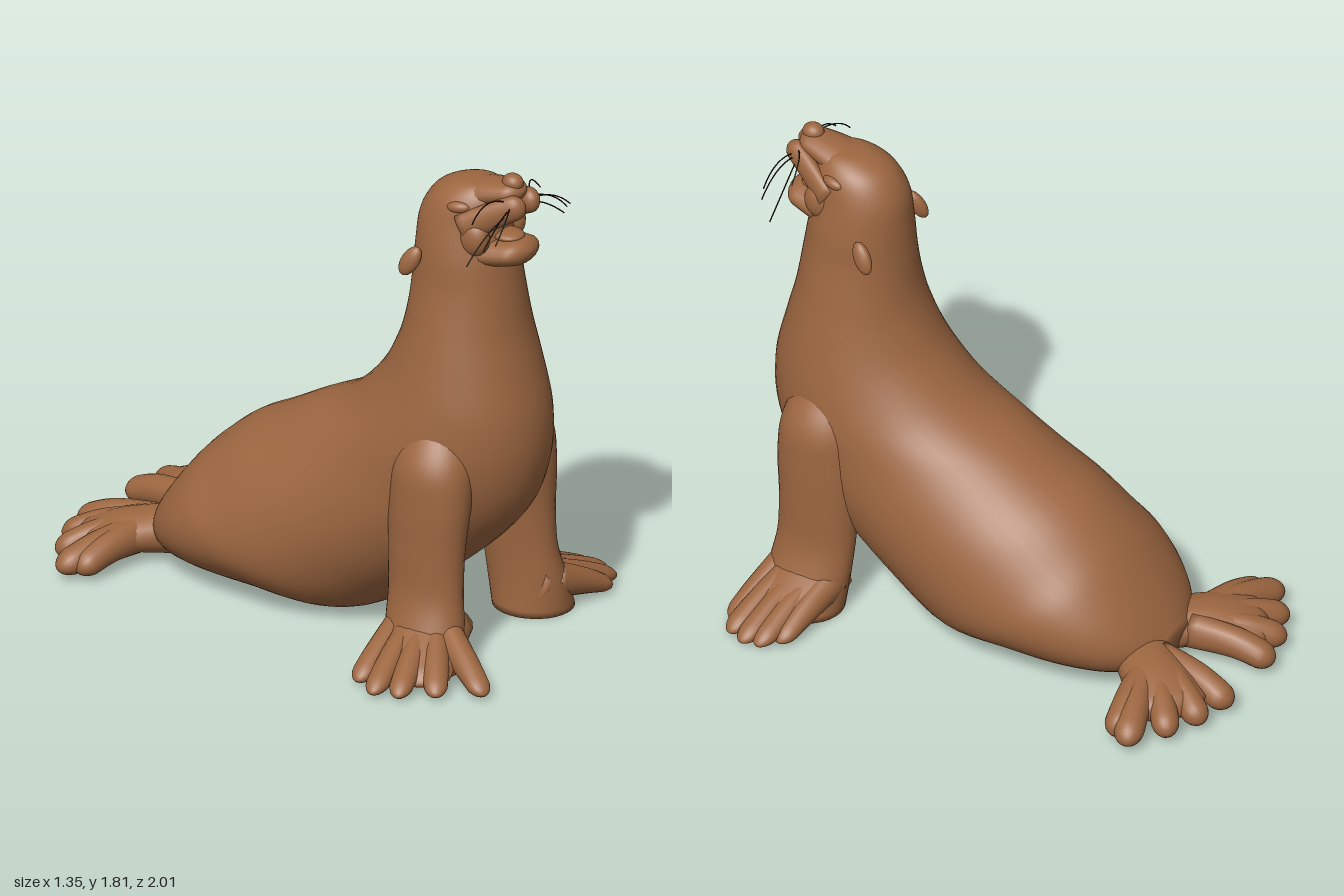
import * as THREE from 'three';

const fur = new THREE.MeshStandardMaterial({ color: 0x9c6640 });
fur.name = 'brown fur';
const dark = new THREE.MeshStandardMaterial({ color: 0x2a1d16 });
dark.name = 'dark whisker';

const V = (x, y, z) => new THREE.Vector3(x, y, z);

// Closed skin over rings {c, u, v}, where u x v points along the loft; the ground flattens it.
function loft(rings, n = 32) {
  const pos = [], index = [];
  const push = (p) => pos.push(p.x, Math.max(0, p.y), p.z);
  rings.forEach(({ c, u, v }) => {
    for (let j = 0; j < n; j++) {
      const a = (j / n) * Math.PI * 2;
      push(c.clone().addScaledVector(u, Math.cos(a)).addScaledVector(v, Math.sin(a)));
    }
  });
  const last = rings.length - 1, start = rings.length * n, end = start + 1;
  push(rings[0].c);
  push(rings[last].c);
  for (let j = 0; j < n; j++) {
    const k = (j + 1) % n;
    for (let i = 0; i < last; i++) {
      const a = i * n + j, b = i * n + k;
      index.push(a, b, a + n, b, b + n, a + n);
    }
    index.push(start, k, j, end, last * n + j, last * n + k);
  }
  const g = new THREE.BufferGeometry();
  g.setAttribute('position', new THREE.Float32BufferAttribute(pos, 3));
  g.setIndex(index);
  g.computeVertexNormals();
  return g;
}

const spline = (pts) => new THREE.CatmullRomCurve3(pts, false, 'catmullrom', 0.5);

// Rounded, tapering lobe from root to tip; r0 and r1 are [half width, half height].
function lobe(root, tip, r0, r1, bulge = 0.02) {
  const mid = root.clone().lerp(tip, 0.55).add(V(0, bulge, 0));
  const path = spline([root, mid, tip]);
  const rings = [];
  for (let i = 0; i <= 18; i++) {
    const t = 1 - Math.pow(1 - i / 18, 1.6);
    const d = path.getTangent(t);
    const side = V(0, 1, 0).cross(d).normalize();
    const up = side.clone().cross(d).normalize();
    const round = t > 0.8 ? Math.sqrt(Math.max(0.0004, 1 - ((t - 0.8) / 0.2) ** 2)) : 1;
    const size = (k) => (r0[k] + (r1[k] - r0[k]) * t) * round;
    rings.push({ c: path.getPoint(t), u: up.multiplyScalar(size(1)), v: side.multiplyScalar(size(0)) });
  }
  return loft(rings, 18);
}

export function createModel() {
  const model = new THREE.Group();
  model.name = 'seaLion';
  const add = (name, geometry, parent = model, material = fur) => {
    const m = new THREE.Mesh(geometry, material);
    m.name = name;
    parent.add(m);
    return m;
  };
  const ball = (name, parent, p, r, rot = [0, 0, 0]) => {
    const m = add(name, new THREE.SphereGeometry(1, 20, 14), parent);
    m.position.set(...p);
    m.scale.set(...r);
    m.rotation.set(...rot);
  };
  const group = (name) => {
    const g = new THREE.Group();
    g.name = name;
    model.add(g);
    return g;
  };

  // Torso, neck and skull: back z, back y, belly z, belly y, half width
  const sections = [
    [0.63, 1.765, 0.67, 1.765, 0.015], [0.56, 1.755, 0.73, 1.75, 0.075],
    [0.475, 1.71, 0.76, 1.69, 0.125], [0.42, 1.62, 0.755, 1.6, 0.155],
    [0.405, 1.5, 0.78, 1.48, 0.18], [0.395, 1.38, 0.8, 1.36, 0.193],
    [0.38, 1.25, 0.825, 1.2, 0.222], [0.345, 1.13, 0.86, 1.06, 0.25],
    [0.27, 0.99, 0.9, 0.88, 0.285], [0.13, 0.845, 0.895, 0.7, 0.315],
    [-0.05, 0.75, 0.83, 0.52, 0.33], [-0.2, 0.665, 0.66, 0.33, 0.355],
    [-0.32, 0.6, 0.42, 0.14, 0.38], [-0.42, 0.52, 0.18, 0, 0.395],
    [-0.5, 0.44, -0.1, 0, 0.385], [-0.58, 0.34, -0.35, 0, 0.335],
    [-0.65, 0.24, -0.55, 0.01, 0.24], [-0.7, 0.16, -0.67, 0.05, 0.1],
  ];
  const backLine = spline(sections.map((s) => V(s[4], s[1], s[0])));
  const bellyLine = spline(sections.map((s) => V(0, s[3], s[2])));
  const bodyRings = [];
  for (let i = 0; i <= 85; i++) {
    const b = backLine.getPoint(i / 85), f = bellyLine.getPoint(i / 85), w = b.x;
    b.x = f.x = 0;
    bodyRings.push({
      c: b.clone().add(f).multiplyScalar(0.5),
      u: b.clone().sub(f).multiplyScalar(0.5),
      v: V(w, 0, 0),
    });
  }
  add('body', loft(bodyRings, 48));

  // Open mouth: upper jaw, nose, lower jaw and tongue
  const head = group('face');
  add('upperJaw', lobe(V(0, 1.69, 0.58), V(0, 1.755, 0.835), [0.11, 0.06], [0.055, 0.035], 0.005), head);
  ball('nose', head, [0, 1.78, 0.79], [0.035, 0.033, 0.04]);
  add('lowerJaw', lobe(V(0, 1.5, 0.58), V(0, 1.535, 0.872), [0.15, 0.07], [0.085, 0.045], -0.005), head);
  ball('tongue', head, [0, 1.575, 0.77], [0.055, 0.02, 0.06]);

  for (const s of [1, -1]) {
    // Lip pad, cheek, brow and ear
    add('lip', lobe(V(s * 0.125, 1.61, 0.66), V(s * 0.03, 1.725, 0.865), [0.03, 0.055], [0.035, 0.045], 0.005), head);
    ball('cheek', head, [s * 0.105, 1.58, 0.7], [0.045, 0.07, 0.06]);
    ball('brow', head, [s * 0.115, 1.685, 0.64], [0.025, 0.022, 0.045], [-0.1, s * -0.25, 0]);
    ball('ear', head, [s * 0.188, 1.46, 0.48], [0.024, 0.062, 0.034], [0.5, 0, s * 0.2]);

    // Whiskers: tip x, y, z
    [[0.285, 1.56, 0.8], [0.255, 1.62, 0.85], [0.21, 1.63, 0.87], [0.2, 1.68, 0.76]].forEach(([x, y, z], i) => {
      const curve = new THREE.QuadraticBezierCurve3(
        V(s * 0.06, 1.69 + i * 0.012, 0.82), V(s * x * 0.6, y + 0.095, z), V(s * x, y, z));
      add('whisker', new THREE.TubeGeometry(curve, 12, 0.0025, 5), head, dark);
    });

    // Foreleg: centre x, y, z, then half width and half depth
    const fore = group(s > 0 ? 'leftForeFlipper' : 'rightForeFlipper');
    const leg = [
      [0.17, 0.9, 0.61, 0.09, 0.1], [0.225, 0.75, 0.615, 0.125, 0.15],
      [0.25, 0.6, 0.615, 0.115, 0.16], [0.265, 0.42, 0.61, 0.1, 0.153],
      [0.275, 0.26, 0.615, 0.095, 0.15], [0.3, 0.12, 0.63, 0.115, 0.155],
      [0.32, 0, 0.64, 0.14, 0.15],
    ];
    const centres = spline(leg.map((r) => V(s * r[0], r[1], r[2])));
    const radii = spline(leg.map((r) => V(r[3], 0, r[4])));
    const legRings = [];
    for (let i = 0; i <= 30; i++) {
      const r = radii.getPoint(i / 30);
      legRings.push({ c: centres.getPoint(i / 30), u: V(0, 0, -r.z), v: V(r.x, 0, 0) });
    }
    add('foreleg', loft(legRings), fore);

    // Fore palm and toes; the right one is spread further forward
    const palmTip = s > 0 ? V(0.6, 0.03, 0.68) : V(-0.55, 0.03, 0.76);
    add('forePalm', lobe(V(s * 0.25, 0.13, 0.62), palmTip, [0.15, 0.1], [0.12, 0.025], 0), fore);
    const foreTips = s > 0
      ? [[0.61, 0.575], [0.665, 0.63], [0.675, 0.69], [0.645, 0.755], [0.57, 0.79]]
      : [[0.62, 0.57], [0.675, 0.675], [0.645, 0.765], [0.56, 0.87], [0.45, 1.0]];
    foreTips.forEach(([x, z], i) => add('foreToe',
      lobe(V(s * 0.3, 0.12, 0.53 + i * 0.05), V(s * x, 0.02, z), [0.055, 0.07], [0.04, 0.025], 0.005), fore));

    // Hind flipper: palm and fanned toes
    const hind = group(s > 0 ? 'leftHindFlipper' : 'rightHindFlipper');
    add('hindPalm', lobe(V(s * 0.1, 0.1, -0.6), V(s * 0.33, 0.06, -0.87), [0.1, 0.09], [0.15, 0.05]), hind);
    [[0.15, -1.0, 0.055], [0.295, -0.965, 0.05], [0.42, -0.9, 0.05], [0.54, -0.8, 0.055], [0.51, -0.74, 0.055]]
      .forEach(([x, z, w], i) => add('hindToe',
        lobe(V(s * (0.1 + i * 0.02), 0.1, -0.69 + i * 0.005), V(s * x, 0.045, z), [0.05, 0.07], [w, 0.045]), hind));
  }
  return model;
}
